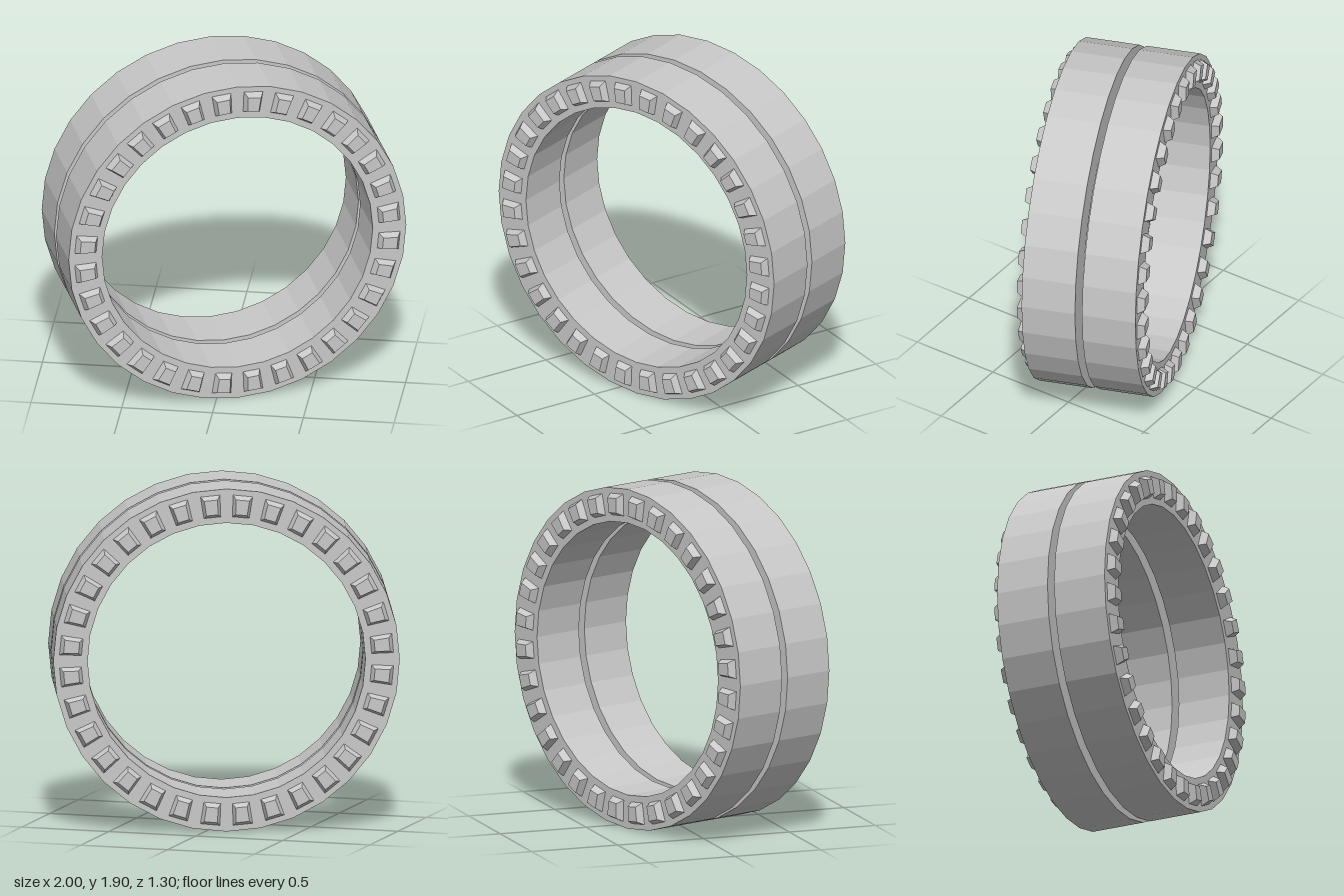
import * as THREE from 'three';

const SEGMENTS = 32;
const OUTER = 0.948;
const INNER = 0.76;
const GAP = 0.02; // half the slot between the rings
const FACE = 0.32; // distance of each outer face from the middle
const TOOTH = 0.04; // tooth height

const steel = new THREE.MeshStandardMaterial({ color: 0xc8c8c8, flatShading: true });
steel.name = 'light steel grey';

function polygon(radius) {
  const points = [];
  for (let i = 0; i < SEGMENTS; i++) {
    const a = (i / SEGMENTS) * Math.PI * 2;
    points.push(new THREE.Vector2(radius * Math.cos(a), radius * Math.sin(a)));
  }
  return points;
}

// Faceted band with a square section
function bandGeometry() {
  const shape = new THREE.Shape(polygon(OUTER));
  shape.holes.push(new THREE.Path(polygon(INNER).reverse()));
  const geometry = new THREE.ExtrudeGeometry(shape, { depth: FACE - GAP, bevelEnabled: false });
  return geometry.translate(0, 0, GAP);
}

// Tapered tooth: x radial, y tangential, z outward from the face
function toothGeometry() {
  const geometry = new THREE.BoxGeometry(0.12, 0.1, TOOTH);
  const p = geometry.attributes.position;
  for (let i = 0; i < p.count; i++) {
    const taper = p.getZ(i) > 0 ? 0.68 : 1;
    const flare = 1 + p.getX(i) * 1.2; // wider toward the rim
    p.setX(i, p.getX(i) * taper);
    p.setY(i, p.getY(i) * taper * flare);
  }
  geometry.computeVertexNormals();
  return geometry;
}

export function createModel() {
  const model = new THREE.Group();
  model.name = 'toothedRingPair';
  const band = bandGeometry();
  const tooth = toothGeometry();

  for (const side of ['front', 'back']) {
    const half = new THREE.Group();
    half.name = side + 'Ring';
    if (side === 'back') half.rotation.y = Math.PI;
    const ring = new THREE.Mesh(band, steel);
    ring.name = side + 'Band';
    half.add(ring);

    // One tooth in the middle of each facet
    for (let i = 0; i < SEGMENTS; i++) {
      const a = ((i + 0.5) / SEGMENTS) * Math.PI * 2;
      const mesh = new THREE.Mesh(tooth, steel);
      mesh.name = side + 'Tooth';
      mesh.position.set(0.853 * Math.cos(a), 0.853 * Math.sin(a), FACE + TOOTH / 2);
      mesh.rotation.z = a;
      half.add(mesh);
    }
    model.add(half);
  }

  // Stand the pair upright, turned toward its left
  model.rotation.y = THREE.MathUtils.degToRad(20.5);
  model.position.y = OUTER;
  return model;
}
